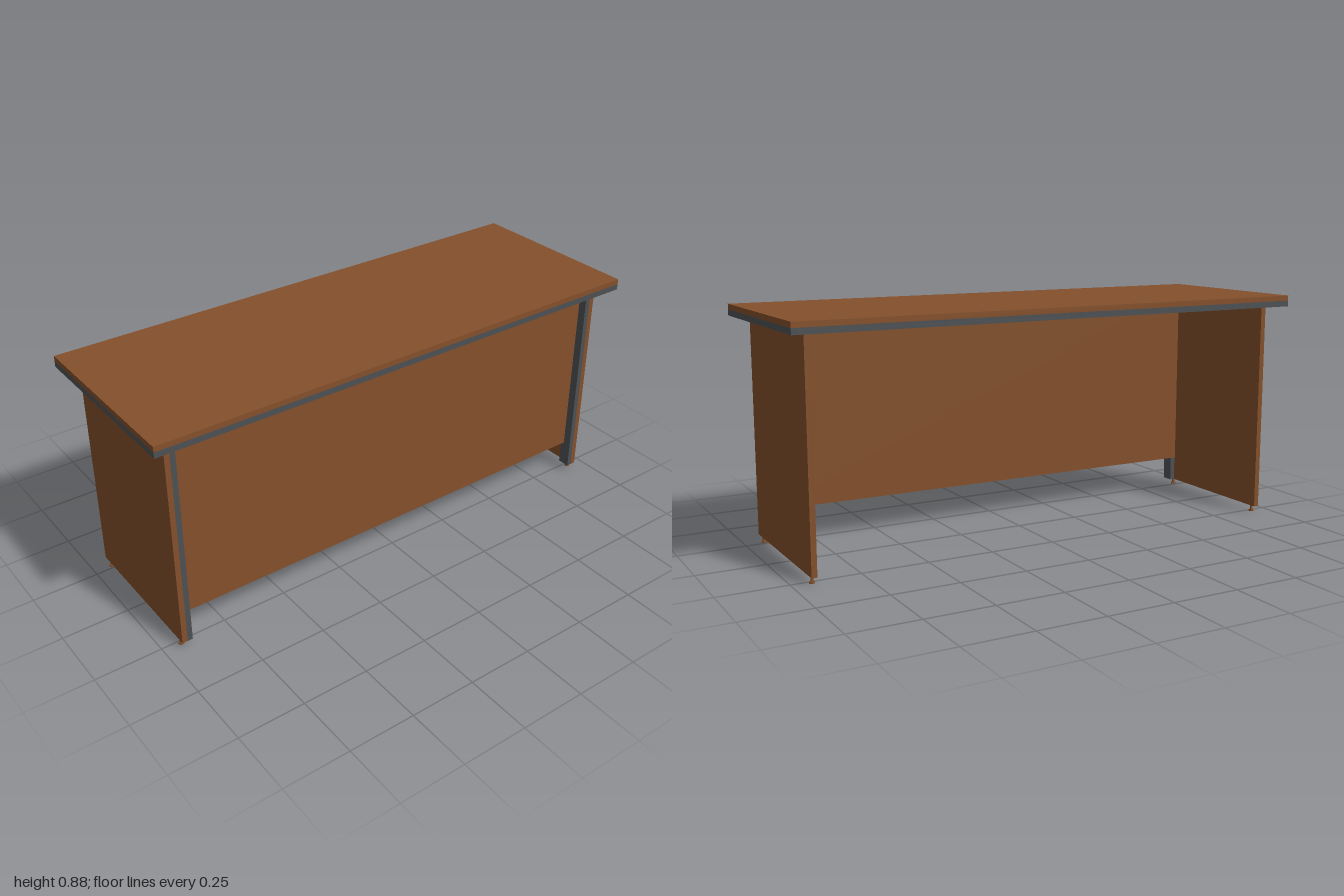
import * as THREE from 'three';

const wood = new THREE.MeshStandardMaterial({ color: 0x84502b });
const trim = new THREE.MeshStandardMaterial({ color: 0x4d5154 });

// Box given by its min and max corners
function slab(name, material, [x0, y0, z0], [x1, y1, z1]) {
  const mesh = new THREE.Mesh(new THREE.BoxGeometry(x1 - x0, y1 - y0, z1 - z0), material);
  mesh.position.set((x0 + x1) / 2, (y0 + y1) / 2, (z0 + z1) / 2);
  mesh.name = name;
  return mesh;
}

// Rectangular frame under the top, open in the middle
function topFrame(halfX, halfZ, rail, y, height) {
  const rect = (P, a, b) => new P([[-a, -b], [a, -b], [a, b], [-a, b]].map(p => new THREE.Vector2(...p)));
  const shape = rect(THREE.Shape, halfX, halfZ);
  shape.holes.push(rect(THREE.Path, halfX - rail, halfZ - rail));
  const geometry = new THREE.ExtrudeGeometry(shape, { depth: height, bevelEnabled: false });
  geometry.rotateX(-Math.PI / 2);
  const mesh = new THREE.Mesh(geometry, trim);
  mesh.position.y = y;
  mesh.name = 'topFrame';
  return mesh;
}

// Levelling foot: thin stem on a round pad
function foot(x, z) {
  const profile = [[0, 0], [0.01, 0], [0.01, 0.006], [0.005, 0.006], [0.005, 0.026]];
  const geometry = new THREE.LatheGeometry(profile.map(p => new THREE.Vector2(...p)), 16).toNonIndexed();
  geometry.computeVertexNormals();
  const mesh = new THREE.Mesh(geometry, wood);
  mesh.position.set(x, 0, z);
  mesh.name = 'foot';
  return mesh;
}

export function createModel() {
  const desk = new THREE.Group();
  desk.name = 'desk';

  // Top board and the frame that carries it
  desk.add(slab('topBoard', wood, [-1, 0.855, -0.353], [1, 0.875, 0.353]));
  desk.add(topFrame(1, 0.353, 0.06, 0.833, 0.022));

  // Modesty panel, set back between the front posts
  desk.add(slab('modestyPanel', wood, [-0.92, 0.123, 0.242], [0.92, 0.855, 0.26]));

  // Side panels with front posts and feet
  for (const s of [-1, 1]) {
    const side = new THREE.Group();
    side.name = s > 0 ? 'leftSide' : 'rightSide';
    const span = (a, b) => [Math.min(s * a, s * b), Math.max(s * a, s * b)];
    const [p0, p1] = span(0.92, 0.94);
    const [q0, q1] = span(0.9, 0.92);
    side.add(slab('sidePanel', wood, [p0, 0.025, -0.293], [p1, 0.855, 0.293]));
    side.add(slab('frontPost', trim, [q0, 0.025, 0.245], [q1, 0.855, 0.293]));
    for (const z of [-0.265, 0.263]) side.add(foot(s * 0.93, z));
    desk.add(side);
  }
  return desk;
}
